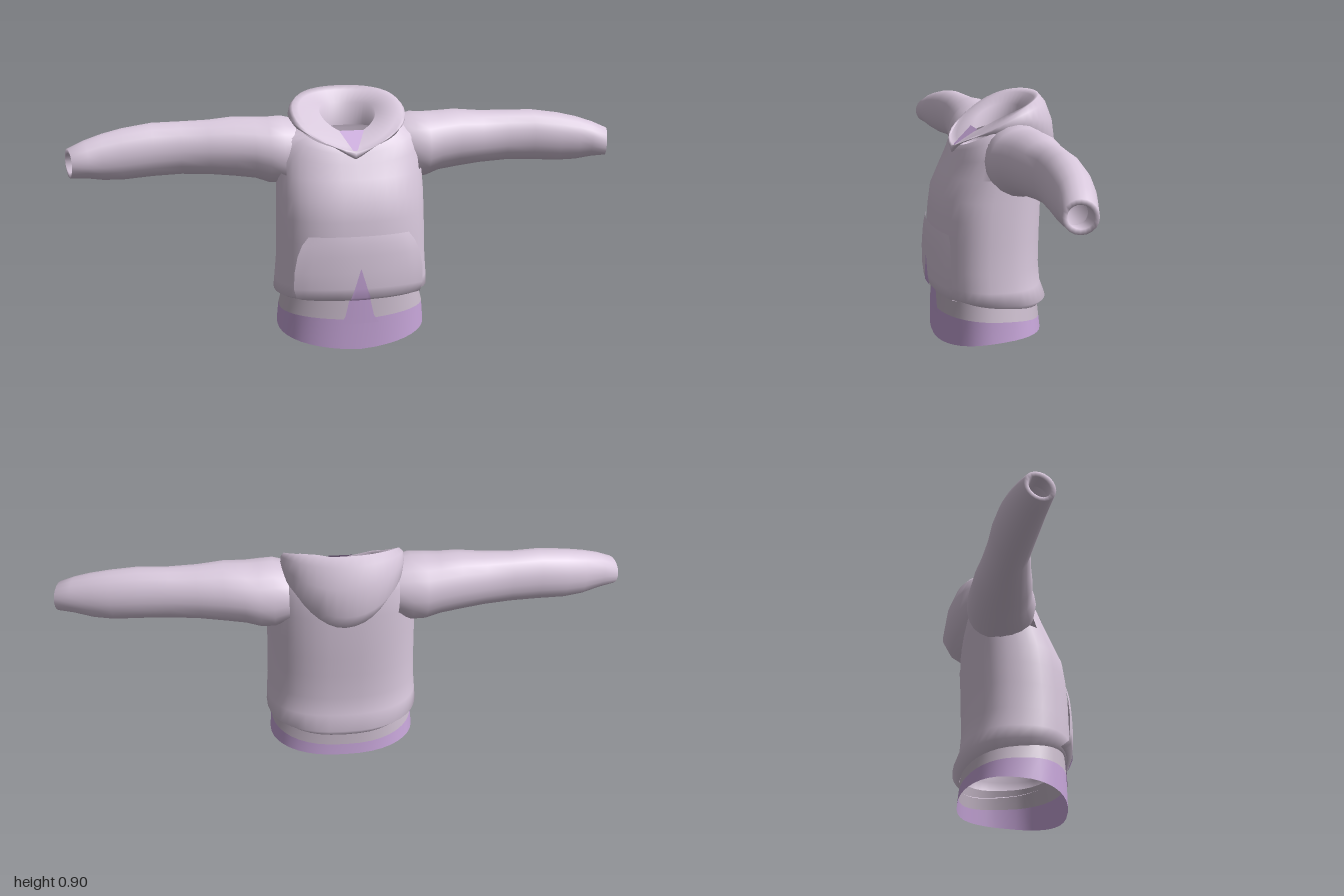
import * as THREE from 'three';

const mat = (name, color) => {
  const m = new THREE.MeshStandardMaterial({ color, side: THREE.DoubleSide });
  m.name = name;
  return m;
};

// Skin a list of point rows; closed rows wrap round, skip() leaves openings
function loft(name, rows, material, closed = true, skip = () => false) {
  const n = rows[0].length, pos = [], idx = [];
  rows.forEach(r => r.forEach(p => pos.push(p.x, p.y, p.z)));
  for (let i = 0; i < rows.length - 1; i++) {
    for (let j = 0; j < (closed ? n : n - 1); j++) {
      const k = (j + 1) % n;
      const mid = rows[i][j].clone().add(rows[i + 1][k]).multiplyScalar(0.5);
      if (skip(mid)) continue;
      const a = i * n + j, b = i * n + k, c = b + n, d = a + n;
      idx.push(a, b, c, a, c, d);
    }
  }
  const g = new THREE.BufferGeometry();
  g.setAttribute('position', new THREE.Float32BufferAttribute(pos, 3));
  g.setIndex(idx);
  g.computeVertexNormals();
  const mesh = new THREE.Mesh(g, material);
  mesh.name = name;
  return mesh;
}

// Horizontal ring: front y, back y, half width, front z, back z, lift of the sides
function ring([yF, yB, hw, zF, zB, lift = 0], power = 2.4, n = 40) {
  const bend = v => Math.sign(v) * Math.abs(v) ** (2 / power);
  return Array.from({ length: n }, (_, i) => {
    const a = i / n * Math.PI * 2, s = Math.sin(a), c = Math.cos(a);
    const side = c > 0 ? Math.abs(s) : s * s;
    return new THREE.Vector3(
      hw * bend(s),
      yF + (yB - yF) * (1 - c) / 2 + lift * side,
      (zF + zB) / 2 + (zF - zB) / 2 * bend(c));
  });
}

// Depth of the garment's front surface at x
const frontZ = (x, hw, zF, zB, power = 2.4) =>
  (zF + zB) / 2 + (zF - zB) / 2 * Math.max(0, 1 - Math.abs(x / hw) ** power) ** (1 / power);

// Open strip of rows [y, half width, ...] laid on the front
function frontPatch(name, rows, depth, material, cols = 16) {
  return loft(name, rows.map(r => Array.from({ length: cols + 1 }, (_, j) => {
    const u = j / cols * 2 - 1, x = u * r[1];
    return new THREE.Vector3(x, r[0], depth(x, u, r));
  })), material, false);
}

// Sleeve running out along x: x, low y, high y, front z, back z
function sleeve(s, material) {
  const rows = [
    [0.19, 0.60, 0.805, 0.07, -0.15], [0.24, 0.575, 0.818, 0.085, -0.158],
    [0.29, 0.578, 0.815, 0.085, -0.16], [0.34, 0.595, 0.816, 0.068, -0.152],
    [0.41, 0.605, 0.82, 0.06, -0.143], [0.5, 0.615, 0.812, 0.045, -0.126],
    [0.6, 0.62, 0.81, 0.032, -0.112], [0.7, 0.619, 0.81, 0.042, -0.105],
    [0.8, 0.614, 0.797, 0.05, -0.092], [0.87, 0.618, 0.782, 0.056, -0.075],
    [0.93, 0.63, 0.763, 0.062, -0.05], [0.985, 0.636, 0.739, 0.068, -0.032],
    [0.983, 0.652, 0.722, 0.052, -0.018], [0.93, 0.65, 0.726, 0.052, -0.018]];
  const group = new THREE.Group();
  group.name = s > 0 ? 'leftSleeve' : 'rightSleeve';
  group.add(loft('sleeveCloth', rows.map(([x, lo, hi, zF, zB]) =>
    Array.from({ length: 20 }, (_, i) => {
      const a = i / 20 * Math.PI * 2, c = Math.cos(a), d = s * Math.sin(a);
      // the cuff is cut at a slant, longer at the back
      const slant = x > 0.9 ? -d * 0.015 : 0;
      return new THREE.Vector3(s * (x + slant),
        (lo + hi) / 2 + (hi - lo) / 2 * c, (zF + zB) / 2 + (zF - zB) / 2 * d);
    })), material));
  return group;
}

export function createModel() {
  const cloth = mat('paleLilacCloth', 0xd8c8dc);
  const purple = mat('purpleCloth', 0xc6a5d8);
  const grey = mat('greyLilacCloth', 0xc6b8c8);
  const model = new THREE.Group();
  model.name = 'hoodedTop';

  // Torso with a gathered waist and open armholes
  model.add(loft('torso', [
    [0.195, 0.13, 0.25, 0.21, -0.162], [0.205, 0.165, 0.284, 0.226, -0.188],
    [0.24, 0.225, 0.281, 0.228, -0.166], [0.3, 0.3, 0.275, 0.227, -0.16],
    [0.4, 0.4, 0.272, 0.225, -0.162], [0.48, 0.48, 0.27, 0.219, -0.165],
    [0.55, 0.55, 0.268, 0.209, -0.167], [0.62, 0.65, 0.265, 0.176, -0.168],
    [0.67, 0.74, 0.26, 0.148, -0.165, 0.01], [0.70, 0.79, 0.235, 0.135, -0.15, 0.03],
    [0.715, 0.82, 0.19, 0.122, -0.13, 0.03],
  ].map(r => ring(r)), cloth, true,
  p => Math.abs(p.x) > 0.2 && p.y > 0.62 && p.y < 0.77 && Math.abs(p.z + 0.01) < 0.085));

  for (const s of [1, -1]) model.add(sleeve(s, cloth));

  // Hood: outside, over the rim, then down to the neck opening
  model.add(loft('hood', [
    [0.685, 0.61, 0.185, 0.138, -0.163, 0.12], [0.69, 0.64, 0.198, 0.143, -0.205, 0.12],
    [0.70, 0.70, 0.21, 0.146, -0.236, 0.09], [0.71, 0.80, 0.214, 0.144, -0.222, 0.06],
    [0.715, 0.87, 0.211, 0.139, -0.195, 0.04], [0.715, 0.9, 0.2, 0.13, -0.17, 0.032],
    [0.722, 0.885, 0.178, 0.115, -0.155, 0.032], [0.757, 0.842, 0.102, 0.062, -0.12, 0.03],
    [0.745, 0.76, 0.097, 0.058, -0.115, 0.01],
  ].map(r => ring(r, 2.05)), cloth));

  // Purple wedge at the throat
  const wedge = [[0, 0.704, 0.147], [0.045, 0.774, 0.058], [-0.045, 0.774, 0.058]]
    .map(p => new THREE.Vector3(...p));
  model.add(loft('throatWedge', [[wedge[0], wedge[0]], [wedge[2], wedge[1]]], purple, false));

  // Undershirt showing below the waist
  const hemTop = [0.115, 0.085, 0.268, 0.214, -0.165, 0.02];
  model.add(loft('shirtHem', [[0, 0.04, 0.275, 0.216, -0.17, 0.027], hemTop].map(r => ring(r)), purple));
  model.add(loft('shirtBand', [hemTop, [0.21, 0.17, 0.25, 0.208, -0.157]].map(r => ring(r)), grey));

  // Front pocket: y, half width, lift at centre, extra lift at the open sides
  const pocketZ = (x, u, r) => frontZ(x, 0.28, 0.227, -0.163) + r[2] + r[3] * u ** 4;
  model.add(frontPatch('pocket', [
    [0.19, 0.205, -0.012, 0.005], [0.205, 0.225, 0.008, 0.025], [0.24, 0.234, 0.012, 0.032],
    [0.3, 0.232, 0.012, 0.032], [0.36, 0.22, 0.009, 0.022], [0.4, 0.203, 0.006, 0.01],
    [0.43, 0.18, 0, 0.004]], pocketZ, cloth));

  // Purple point rising up the middle of the front
  model.add(frontPatch('bandPoint', [[0.1, 0.07], [0.13, 0.052], [0.2, 0.036]],
    x => frontZ(x, 0.265, 0.217, -0.165), purple, 6));
  model.add(frontPatch('pocketPoint', [
    [0.195, 0.036, 0.004, 0], [0.206, 0.035, 0.012, 0], [0.24, 0.023, 0.015, 0],
    [0.3, 0.005, 0.015, 0], [0.315, 0.0005, 0.015, 0]], pocketZ, purple, 6));

  return model;
}
